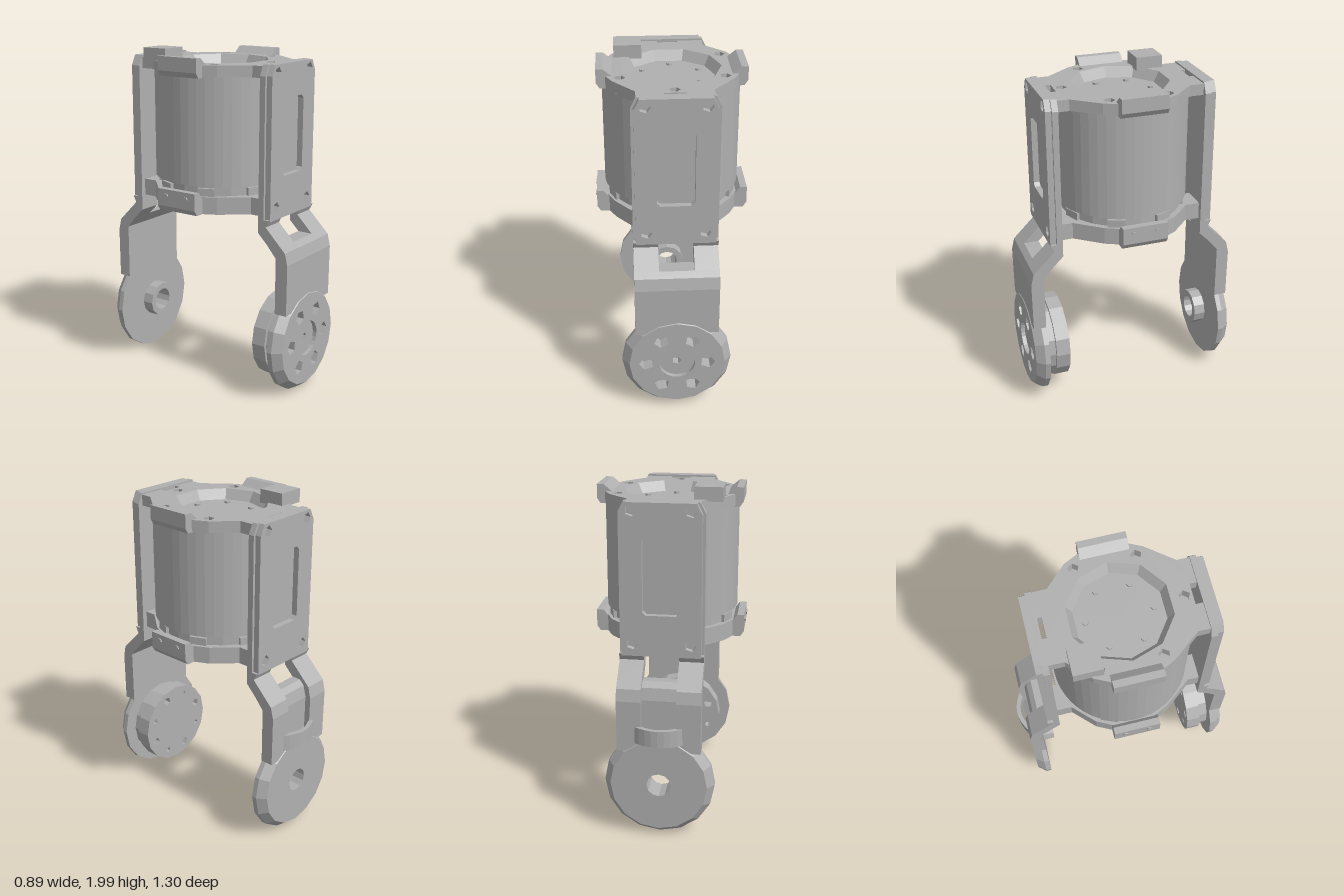
import * as THREE from 'three';

const metal = new THREE.MeshStandardMaterial({ color: 0xb0b0b0, flatShading: true, side: THREE.DoubleSide });
metal.name = 'grey metal';

const CZ = 0.02; // motor axis
const FY = 0.33; // pivot height

function add(parent, name, geo) {
  const m = new THREE.Mesh(geo, metal);
  m.name = name;
  parent.add(m);
  return m;
}
const poly = (pts) => new THREE.Shape(pts.map((p) => new THREE.Vector2(p[0], p[1])));
const ngon = (x, y, r, n, a = 0) => poly(Array.from({ length: n }, (_, i) => {
  const t = a + (i / n) * Math.PI * 2;
  return [x + r * Math.cos(t), y + r * Math.sin(t)];
}));
const rect = (x0, x1, y0, y1, c = 0.02) => poly([[x0 + c, y0], [x1 - c, y0], [x1, y0 + c], [x1, y1 - c],
  [x1 - c, y1], [x0 + c, y1], [x0, y1 - c], [x0, y0 + c]]);
const extrude = (shape, depth) => new THREE.ExtrudeGeometry(shape, { depth, bevelEnabled: false });
// outline in XY, pushed from z0 to z1
const face = (shape, z0, z1) => extrude(shape, z1 - z0).translate(0, 0, z0);
// outline in XZ, from y0 up to y1
const plate = (shape, y0, y1) => extrude(shape, y1 - y0).rotateX(Math.PI / 2).translate(0, y1, 0);
// profile in ZY, pushed from x0 to x1
const slab = (pts, x0, x1) => extrude(poly(pts), x1 - x0).rotateY(-Math.PI / 2).translate(x1, 0, 0);
const box = (x0, x1, y0, y1, z0, z1) =>
  new THREE.BoxGeometry(x1 - x0, y1 - y0, z1 - z0).translate((x0 + x1) / 2, (y0 + y1) / 2, (z0 + z1) / 2);
const disc = (r, z0, z1, n) =>
  new THREE.CylinderGeometry(r, r, z1 - z0, n).rotateX(Math.PI / 2).translate(0, FY, (z0 + z1) / 2);

// plate outline reaching both arms, with a notch beside each
function bracketOutline() {
  const half = [[0.06, -0.41], [0.21, -0.41], [0.21, -0.32], [0.33, -0.2], [0.38, -0.1],
    [0.38, 0.13], [0.33, 0.23], [0.21, 0.38], [0.21, 0.455], [0.06, 0.455], [0.06, 0.41]];
  const right = [[0.06, -0.38], ...half];
  return poly([...right, ...right.slice().reverse().map(([x, z]) => [-x, z])]);
}

function createMotor() {
  const g = new THREE.Group();
  g.name = 'motor';
  add(g, 'motorBody', new THREE.CylinderGeometry(0.39, 0.39, 0.62, 48).translate(0, 1.56, CZ));
  add(g, 'motorCollar', new THREE.CylinderGeometry(0.36, 0.36, 0.08, 24).translate(0, 1.22, CZ));

  // top ring with bolt holes and a sloped inner lip
  const top = bracketOutline();
  top.holes.push(ngon(0, CZ, 0.285, 10));
  for (const [x, z] of [[-0.3, -0.16], [0.29, -0.16], [-0.29, 0.18], [0.29, 0.18], [0, 0.365]])
    top.holes.push(ngon(x, z, 0.032, 5));
  add(g, 'topBracket', plate(top, 1.865, 1.93));
  const lip = new THREE.LatheGeometry([new THREE.Vector2(0.25, 1.872), new THREE.Vector2(0.285, 1.93)], 10);
  add(g, 'topLip', lip.rotateY(Math.PI / 2).translate(0, 0, CZ));
  for (let i = 0; i < 6; i++) {
    const a = Math.PI / 6 + (i * Math.PI) / 3;
    add(g, 'topScrew', new THREE.CylinderGeometry(0.018, 0.018, 0.012, 6)
      .translate(0.185 * Math.cos(a), 1.875, CZ + 0.185 * Math.sin(a)));
  }
  add(g, 'topTab', box(-0.32, -0.16, 1.92, 2.0, -0.3, -0.14));

  // bottom bracket
  add(g, 'bottomBracket', plate(bracketOutline(), 1.09, 1.19));
  for (let i = 0; i < 8; i++) {
    const a = Math.PI / 8 + (i * Math.PI) / 4;
    add(g, 'bottomClip', box(-0.05, 0.05, 1.19, 1.235, -0.03, 0.03)
      .translate(0, 0, 0.345).rotateY(a).translate(0, 0, CZ));
  }

  // side lugs, outer edges chamfered
  for (const s of [-1, 1]) {
    const lug = (x0, x1, y0, y1) => {
      const geo = extrude(poly([[s * x0, y0], [s * (x1 - 0.02), y0], [s * x1, y0 + 0.03],
        [s * x1, y1], [s * (x1 - 0.04), y1], [s * x0, y1 - 0.05]]), 0.27);
      return geo.translate(0, 0, -0.115);
    };
    add(g, 'topLug', lug(0.32, 0.42, 1.86, 1.97));
    add(g, 'bottomLug', lug(0.36, 0.44, 1.09, 1.22));
    for (const z of [-0.05, 0.09])
      add(g, 'lugScrew', new THREE.CylinderGeometry(0.016, 0.016, 0.01, 6)
        .rotateZ(Math.PI / 2).translate(s * 0.442, 1.18, z));
  }
  return g;
}

// one arm, facing +z: recessed upper panel, cranked neck, round foot
function createArm(name, channel) {
  const g = new THREE.Group();
  g.name = name;

  const outline = (w) => poly([[-w, 1.07], [w, 1.07], [w, 1.88], [w - 0.03, 1.94], [-w + 0.03, 1.94], [-w, 1.88]]);
  add(g, 'panelBack', face(outline(0.24), 0.45, 0.485));
  const panel = outline(0.225);
  panel.holes.push(rect(-0.105, 0.105, 1.31, 1.75));
  for (const x of [-0.165, 0.165]) for (const y of [1.14, 1.895]) panel.holes.push(ngon(x, y, 0.033, 5));
  add(g, 'panel', face(panel, 0.485, 0.52));

  // crank either side of the open slot
  const crank = [[0.52, 1.08], [0.5, 1.04], [0.6, 0.94], [0.51, 0.94], [0.45, 1.0], [0.45, 1.08]];
  add(g, 'crank', slab(crank, -0.24, -0.1));
  add(g, 'crank', slab(crank, 0.1, 0.24));

  const neck = (d) => [[0.6 - d, 0.94], [0.63 - d, 0.91], [0.647 - d, 0.84], [0.645 - d, 0.54],
    [0.57, 0.54], [0.57, 0.87], [0.51, 0.94]];
  if (channel) {
    add(g, 'neckRail', slab(neck(0), -0.24, -0.1));
    add(g, 'neckRail', slab(neck(0), 0.1, 0.24));
    add(g, 'neckChannel', slab(neck(0.035), -0.1, 0.1));
  } else add(g, 'neck', slab(neck(0), -0.24, 0.24));

  // chamfered rim of the foot
  const rim = [[0.26, 0.57], [0.32, 0.57], [0.32, 0.6], [0.28, 0.65], [0.26, 0.65]];
  add(g, 'footRim', new THREE.LatheGeometry(rim.map((p) => new THREE.Vector2(...p)), 16)
    .rotateX(Math.PI / 2).translate(0, FY, 0));
  return g;
}

function createFrontArm() {
  const g = createArm('frontArm', false);
  const foot = ngon(0, FY, 0.265, 16);
  foot.holes.push(ngon(0, FY, 0.105, 24));
  for (let i = 0; i < 6; i++) {
    const a = (i * Math.PI) / 3;
    foot.holes.push(ngon(0.18 * Math.cos(a), FY + 0.18 * Math.sin(a), 0.044, 5, a));
  }
  add(g, 'footFace', face(foot, 0.57, 0.65));
  const hub = ngon(0, FY, 0.105, 24);
  hub.holes.push(ngon(0, FY, 0.028, 5));
  add(g, 'hubFace', face(hub, 0.57, 0.625));

  // drive disc on the inner side
  add(g, 'driveDiscStep', disc(0.24, 0.51, 0.575, 16));
  const drive = ngon(0, FY, 0.26, 16);
  for (let i = 0; i < 8; i++) {
    const a = Math.PI / 8 + (i * Math.PI) / 4;
    drive.holes.push(ngon(0.2 * Math.cos(a), FY + 0.2 * Math.sin(a), i % 2 ? 0.028 : 0.018, 5, a));
  }
  add(g, 'driveDisc', face(drive, 0.43, 0.515));
  return g;
}

function createBackArm() {
  const g = createArm('backArm', true);
  const foot = ngon(0, FY, 0.265, 16);
  foot.holes.push(ngon(0, FY, 0.07, 12));
  add(g, 'footFace', face(foot, 0.57, 0.648));
  const boss = ngon(0, FY, 0.11, 12);
  boss.holes.push(ngon(0, FY, 0.07, 12));
  add(g, 'pivotBoss', face(boss, 0.5, 0.575));

  // cable strap bowed across the channel
  const outer = [], inner = [];
  for (let i = 0; i <= 8; i++) {
    const t = i / 4 - 1;
    outer.push([0.145 * t, 0.695 - 0.055 * t * t]);
    inner.push([0.125 * t, 0.67 - 0.05 * t * t]);
  }
  add(g, 'cableStrap', plate(poly([...outer, ...inner.reverse()]), 0.59, 0.69));

  g.rotation.y = Math.PI;
  g.position.z = 0.045;
  return g;
}

export function createModel() {
  const model = new THREE.Group();
  model.name = 'motorFork';
  model.add(createMotor(), createFrontArm(), createBackArm());
  return model;
}
